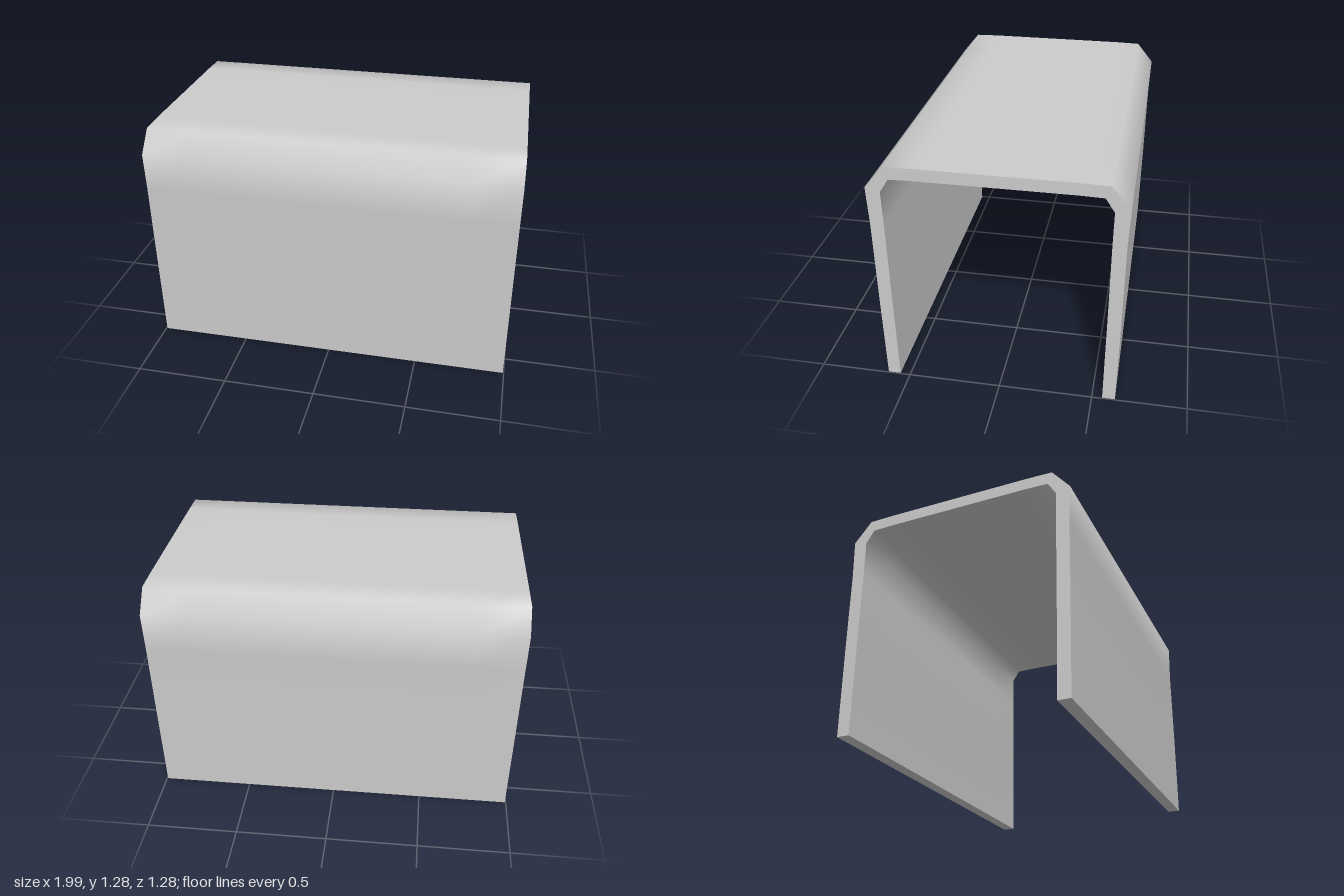
import * as THREE from 'three';
import { toCreasedNormals } from 'three/addons/utils/BufferGeometryUtils.js';

// Half sections as [z, y], from the foot up to the roof
const OUTER = [[0.623, 0], [0.63, 0.5], [0.634, 0.95], [0.642, 1.16], [0.545, 1.277], [0.4, 1.28]];
const INNER = [[0.555, 0], [0.56, 0.5], [0.563, 0.95], [0.566, 1.14], [0.52, 1.212], [0.4, 1.215]];
const LENGTH = 1.99;

// Full arch from one half: up one side, down the other
const arch = (half) => [...half, ...half.map(([z, y]) => [-z, y]).reverse()];

export function createModel() {
  const group = new THREE.Group();
  group.name = 'archedCover';

  // Closed wall section with chamfered shoulders, swept along x
  const outline = [...arch(OUTER), ...arch(INNER).reverse()];
  const section = new THREE.Shape(outline.map(([z, y]) => new THREE.Vector2(-z, y)));
  const geometry = new THREE.ExtrudeGeometry(section, { depth: LENGTH, steps: 8, bevelEnabled: false });
  geometry.translate(0, 0, -LENGTH / 2);
  geometry.rotateY(Math.PI / 2);

  // Shoulders shade softly, while the rims and feet stay sharp
  const shell = new THREE.Mesh(
    toCreasedNormals(geometry, Math.PI / 3),
    new THREE.MeshStandardMaterial({ color: 0xcccccc })
  );
  shell.name = 'shell';
  group.add(shell);
  return group;
}
